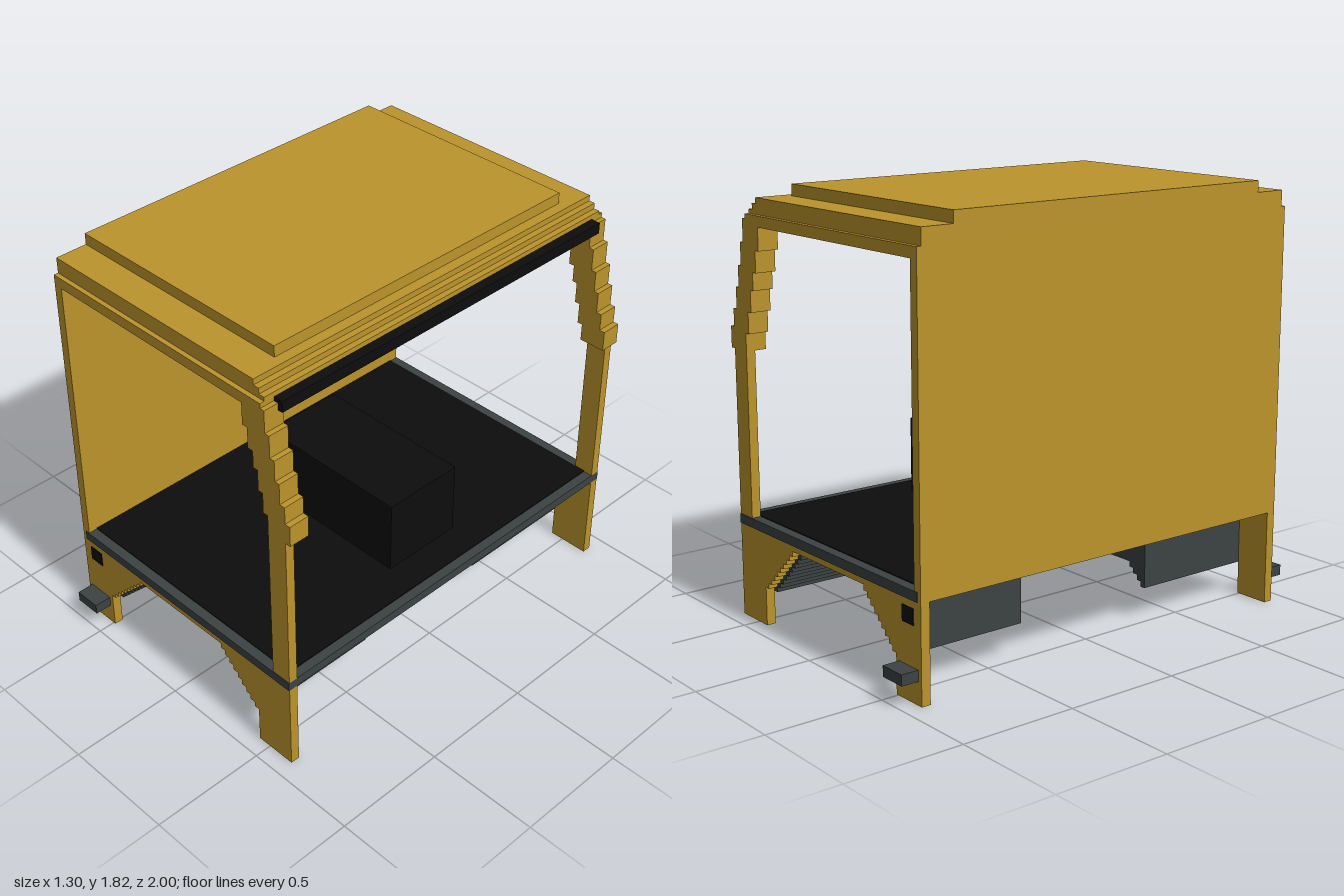
import * as THREE from 'three';

const mat = (name, color) => {
  const m = new THREE.MeshStandardMaterial({ color });
  m.name = name;
  return m;
};

export function createModel() {
  const yellow = mat('body yellow', 0xbc942c);
  const grey = mat('chassis grey', 0x3c4242);
  const black = mat('matt black', 0x0d0d0d);
  const lining = mat('ceiling lining', 0x80775f);
  const group = new THREE.Group();

  const add = (name, geo, material) => {
    const mesh = new THREE.Mesh(geo, material);
    mesh.name = name;
    group.add(mesh);
    return mesh;
  };
  // Box given by its limits on each axis
  const box = (name, material, x0, x1, y0, y1, z0, z1) => {
    const geo = new THREE.BoxGeometry(x1 - x0, y1 - y0, z1 - z0);
    geo.translate((x0 + x1) / 2, (y0 + y1) / 2, (z0 + z1) / 2);
    return add(name, geo, material);
  };
  // Same box on both sides of the cab
  const pair = (name, material, x0, x1, y0, y1, z0, z1) => {
    box(name + 'Left', material, x0, x1, y0, y1, z0, z1);
    box(name + 'Right', material, x0, x1, y0, y1, -z1, -z0);
  };
  // Profile in x and y, extruded over a z range on both sides
  const profilePair = (name, material, points, z0, z1) => {
    const shape = new THREE.Shape(points.map(([x, y]) => new THREE.Vector2(x, y)));
    for (const [label, z] of [['Left', z0], ['Right', -z1]]) {
      const geo = new THREE.ExtrudeGeometry(shape, { depth: z1 - z0, bevelEnabled: false });
      geo.translate(0, 0, z);
      add(name + label, geo, material);
    }
  };

  // Stepped wheel arch outline, from the rear foot to the front foot
  const STEPS = 9;
  const archPoints = (drop) => {
    const up = [], down = [];
    const dy = (0.375 - 0.165) / STEPS;
    for (let i = 0; i < STEPS; i++) {
      const y0 = 0.165 + i * dy - drop, y1 = y0 + dy;
      const xr = -0.49 + (i + 1) * 0.0233, xf = 0.44 - (i + 1) * 0.0239;
      if (i === 0) {
        up.push([xr - 0.0233, y0]);
        down.push([xf + 0.0239, y0]);
      }
      up.push([xr, y0], [xr, y1]);
      down.push([xf, y0], [xf, y1]);
    }
    return [...up, ...down.reverse()];
  };

  // Floor, mat and engine cover
  box('floor', grey, -0.63, 0.625, 0.4, 0.44, -0.928, 0.928);
  box('floorMat', black, -0.61, 0.583, 0.44, 0.444, -0.885, 0.885);
  box('engineCover', black, -0.28, 0.44, 0.44, 0.77, -0.187, 0.187);

  // Lower side panels with legs
  profilePair('sidePanel', yellow,
    [[-0.65, 0.4], [-0.65, 0], [-0.49, 0], ...archPoints(0), [0.44, 0], [0.625, 0], [0.625, 0.4]],
    0.885, 0.925);

  // Wheel housings and their inner plates
  profilePair('wheelHousing', grey,
    [[-0.49, 0.375], ...archPoints(0.023), [0.44, 0.375]], 0.33, 0.885);
  profilePair('housingInnerPlate', grey,
    [[-0.4, 0.235], [0.345, 0.235], [0.345, 0.27], [0.23, 0.37], [-0.28, 0.37], [-0.4, 0.27]], 0.331, 0.35);

  // Rear wall, posts and side headers
  box('rearWall', yellow, -0.65, -0.61, 0.4, 1.7, -0.925, 0.925);
  pair('frontPost', yellow, 0.533, 0.625, 0.44, 1.18, 0.885, 0.925);
  pair('sideHeader', yellow, -0.61, 0.43, 1.655, 1.7, 0.835, 0.925);

  // Stepped windscreen pillars
  profilePair('screenPillar', yellow, [
    [0.415, 1.68], [0.415, 1.56], [0.44, 1.56], [0.44, 1.47], [0.465, 1.47], [0.465, 1.396],
    [0.487, 1.396], [0.487, 1.305], [0.51, 1.305], [0.51, 1.215], [0.533, 1.215], [0.533, 1.14],
    [0.65, 1.14], [0.65, 1.23], [0.625, 1.23], [0.625, 1.305], [0.6, 1.305], [0.6, 1.396],
    [0.578, 1.396], [0.578, 1.487], [0.555, 1.487], [0.555, 1.583], [0.533, 1.583], [0.533, 1.68],
  ], 0.835, 0.925);

  // Layered roof with a raised top
  const tiers = [
    [0.513, 1.68, 1.7, 0.925], [0.513, 1.7, 1.717, 0.905], [0.487, 1.717, 1.742, 0.905],
    [0.46, 1.742, 1.767, 0.905], [0.415, 1.767, 1.815, 0.765],
  ];
  tiers.forEach(([x, y0, y1, z], i) => box('roofTier' + (i + 1), yellow, -0.65, x, y0, y1, -z, z));
  box('ceiling', lining, -0.61, 0.51, 1.674, 1.68, -0.835, 0.835);
  box('screenTopBar', black, 0.51, 0.555, 1.65, 1.697, -0.86, 0.86);

  // Entry steps and side vents
  pair('entryStep', grey, -0.63, -0.51, 0.095, 0.14, 0.925, 1);
  pair('sideVent', black, -0.605, -0.535, 0.305, 0.37, 0.924, 0.929);

  return group;
}
